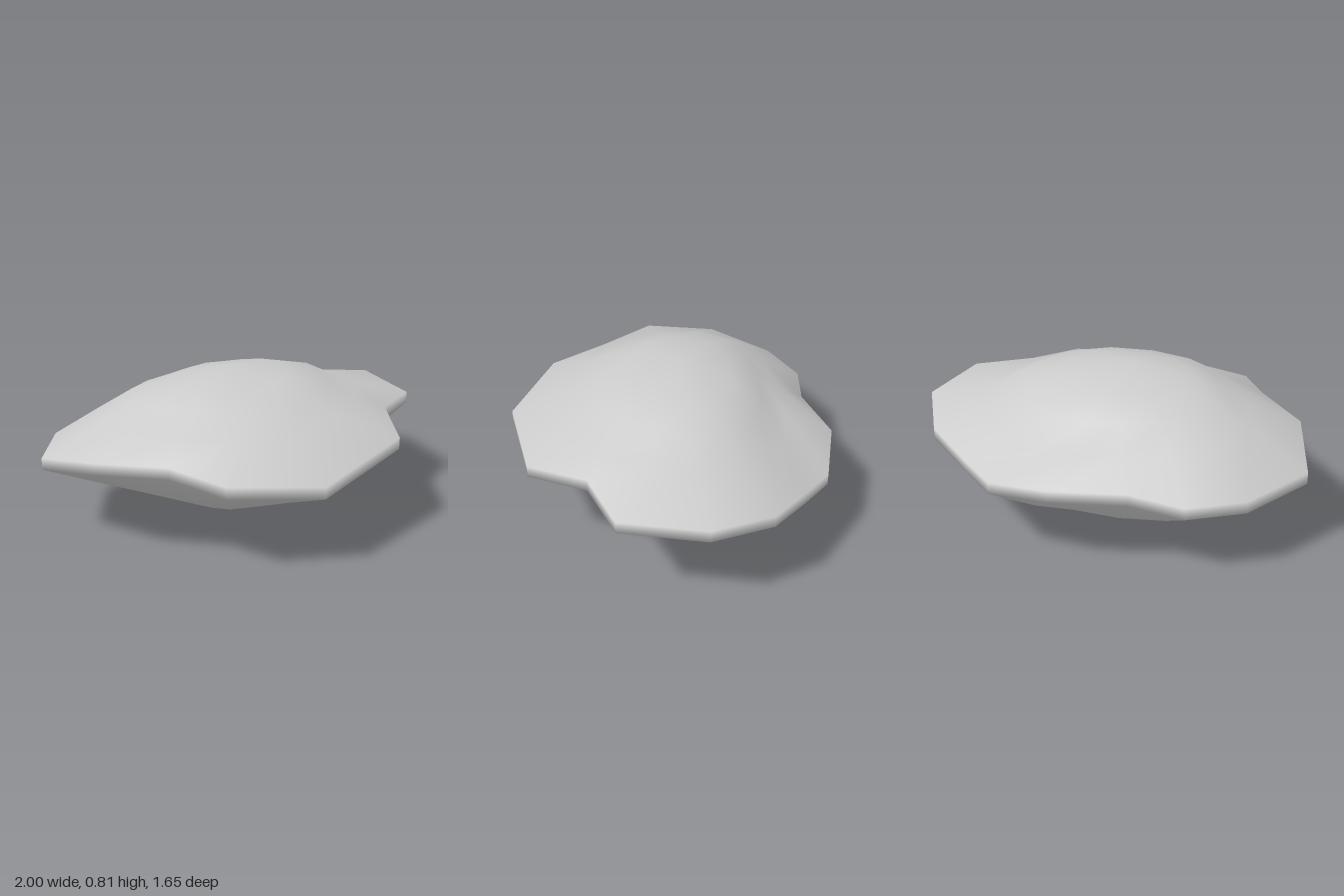
import * as THREE from 'three';

// Rim corners, counter-clockwise seen from above, starting at the front:
// x, z, top height, fullness of the dome's shoulder (low values make hollows)
const RIM = [
  [0.02, 0.825, 0.465, 0.46], [0.58, 0.62, 0.53, 0.36], [0.71, 0.31, 0.57, 0.2], [0.98, 0.14, 0.555, 0.26],
  [1.0, -0.28, 0.555, 0.25], [0.81, -0.56, 0.51, 0.25], [0.56, -0.7, 0.46, 0.22], [0.36, -0.81, 0.43, 0.23],
  [0.04, -0.83, 0.47, 0.21], [-0.3, -0.68, 0.45, 0.3], [-0.57, -0.66, 0.43, 0.39], [-0.81, -0.49, 0.43, 0.44],
  [-1.0, -0.15, 0.45, 0.44], [-0.86, 0.21, 0.53, 0.29], [-0.59, 0.44, 0.54, 0.26], [-0.42, 0.69, 0.505, 0.38],
];
const THICKNESS = 0.06;
const APEX = [-0.04, 0.81, -0.04];
const NADIR = [0.01, 0, -0.12];
const CROWN = 0.81; // height share of the innermost dome ring

// Dome rings: [share of the way out, blend from crown to shoulder]
const DOME = [[0.37, 0], [0.57, 0.36], [0.75, 1]];
// Keel rings: [share of the way out, share of the rim height]
const KEEL = [[0.72, 0.59], [0.255, 0.132]];

export function createModel() {
  const group = new THREE.Group();
  const positions = [...APEX];
  const index = [];
  const n = RIM.length;
  const lerp = THREE.MathUtils.lerp;

  // Inner rings follow a rounder outline than the jagged rim
  const round = RIM.map((corner, i) => {
    const before = RIM[(i + n - 1) % n], after = RIM[(i + 1) % n];
    return [0, 1].map((k) => (before[k] + corner[k] + after[k]) / 3);
  });
  const addRing = (pole, out, height) => RIM.forEach((corner, i) => {
    positions.push(lerp(pole[0], round[i][0], out), height(corner), lerp(pole[2], round[i][1], out));
  });
  const addRim = (drop) => RIM.forEach(([x, z, top]) => positions.push(x, top - drop, z));

  // Dome, rim band, keel
  for (const [out, blend] of DOME) {
    addRing(APEX, out, ([, , top, shoulder]) => lerp(top, APEX[1], lerp(CROWN, shoulder, blend)));
  }
  addRim(0);
  addRim(THICKNESS);
  for (const [out, rise] of KEEL) addRing(NADIR, out, ([, , top]) => (top - THICKNESS) * rise);
  positions.push(...NADIR);

  // Fans at both poles, with bands of quads between the rings
  const rings = DOME.length + KEEL.length + 2;
  const last = 1 + rings * n;
  for (let i = 0; i < n; i++) {
    const j = (i + 1) % n;
    index.push(0, 1 + i, 1 + j);
    for (let r = 0; r < rings - 1; r++) {
      const a = 1 + r * n + i, b = 1 + r * n + j;
      index.push(a, a + n, b, b, a + n, b + n);
    }
    index.push(last, last - n + j, last - n + i);
  }

  const geometry = new THREE.BufferGeometry();
  geometry.setAttribute('position', new THREE.Float32BufferAttribute(positions, 3));
  geometry.setIndex(index);
  geometry.computeVertexNormals();

  const rock = new THREE.Mesh(geometry, new THREE.MeshStandardMaterial({ color: 0xcccccc }));
  rock.name = 'rock';
  group.add(rock);
  return group;
}
